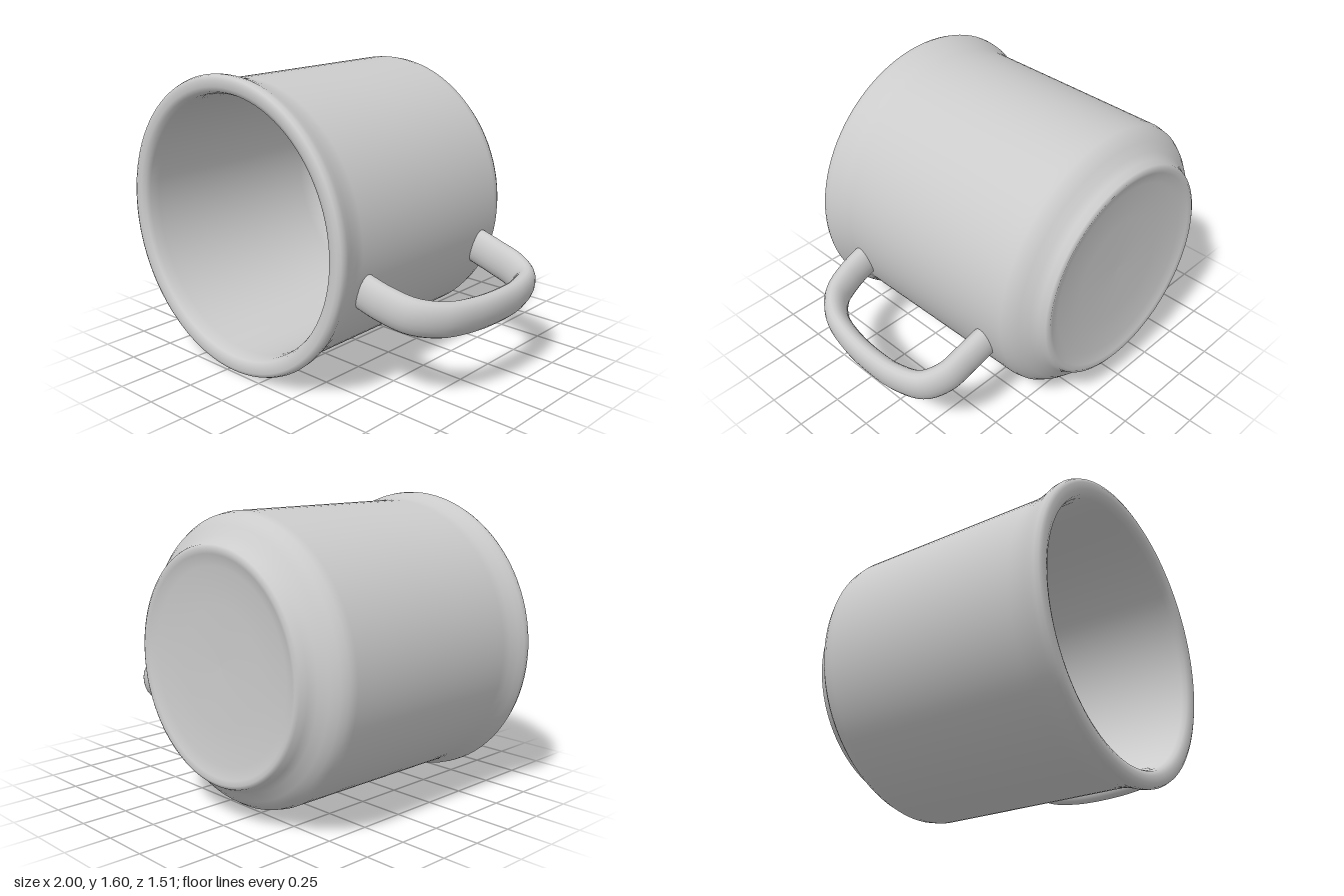
import * as THREE from 'three';

const AXIS_X = -0.2, AXIS_Y = 0.8;   // centre line of the mug, which lies along z
const TILT = -0.29;                  // handle slopes down from the centre line

const material = () => new THREE.MeshStandardMaterial({ color: 0xcccccc });

// Body: one closed profile, from the base centre over the rim to the inner floor
function makeBody() {
  const profile = [
    [0, -0.71], [0.3, -0.715], [0.5, -0.73], [0.56, -0.748], // shallow dished base
    [0.585, -0.757], [0.605, -0.745], [0.62, -0.71], [0.645, -0.675], // foot
    [0.69, -0.645], [0.725, -0.61], [0.748, -0.575], [0.757, -0.53], // shoulder
    [0.759, 0], [0.761, 0.56], [0.767, 0.61], [0.782, 0.665], // wall and flare
    [0.795, 0.70], [0.798, 0.725], [0.79, 0.745], [0.77, 0.755], // rim
    [0.735, 0.752], [0.71, 0.74], [0.699, 0.715], [0.695, 0.66],
    [0.693, 0], [0.69, -0.45], [0.675, -0.54], [0.63, -0.595], // inside wall
    [0.55, -0.62], [0.3, -0.63], [0, -0.63], // inner floor
  ].map(([r, y]) => new THREE.Vector2(r, y));
  const geometry = new THREE.LatheGeometry(profile, 96);
  geometry.rotateX(Math.PI / 2);
  const body = new THREE.Mesh(geometry, material());
  body.name = 'body';
  return body;
}

// Handle: an oval-section tube along a D-shaped path, ends sunk into the wall
function makeHandle() {
  const path = new THREE.CatmullRomCurve3([
    [0.735, 0.51], [0.88, 0.497], [1.02, 0.45], [1.12, 0.33], [1.17, 0.15],
    [1.186, -0.05], [1.175, -0.22], [1.125, -0.36], [1.02, -0.422],
    [0.88, -0.432], [0.735, -0.435],
  ].map(([r, z]) => new THREE.Vector3(r, 0, z)));
  const geometry = new THREE.TubeGeometry(path, 64, 0.06, 20);
  geometry.scale(1, 1.68, 1);
  geometry.rotateZ(TILT);
  const handle = new THREE.Mesh(geometry, material());
  handle.name = 'handle';
  return handle;
}

export function createModel() {
  const mug = new THREE.Group();
  mug.name = 'mug';
  mug.add(makeBody(), makeHandle());
  mug.position.set(AXIS_X, AXIS_Y, 0);
  const model = new THREE.Group();
  model.add(mug);
  return model;
}
